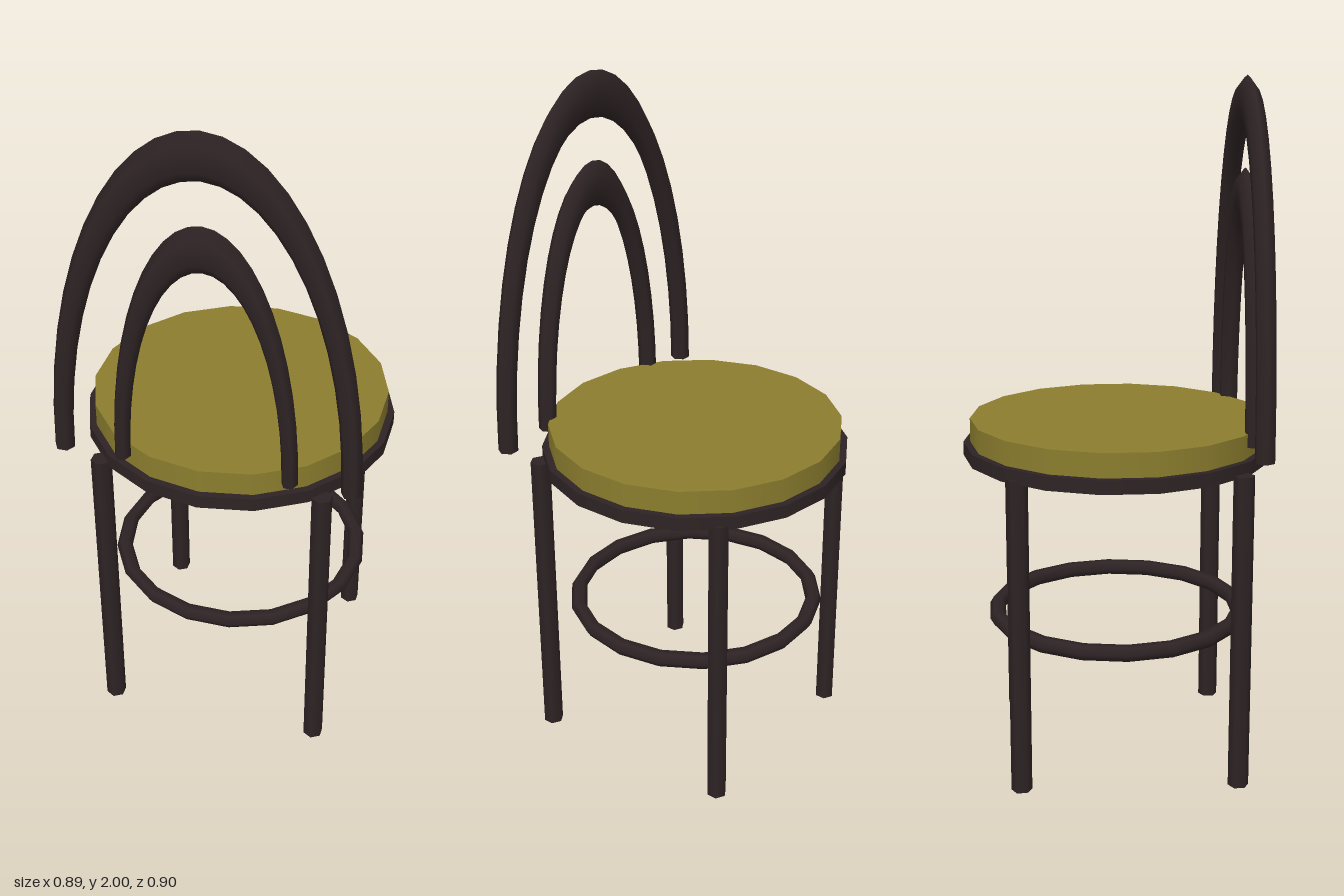
import * as THREE from 'three';

export function createModel() {
  const model = new THREE.Group();
  model.name = 'chair';
  const wood = new THREE.MeshStandardMaterial({ color: 0x2e2324, side: THREE.DoubleSide });
  wood.name = 'dark wood';
  const fabric = new THREE.MeshStandardMaterial({ color: 0x8b7d2e });
  fabric.name = 'olive fabric';

  const add = (name, geometry, material, x, y, z) => {
    const mesh = new THREE.Mesh(geometry, material);
    mesh.name = name;
    mesh.position.set(x, y, z);
    model.add(mesh);
    return mesh;
  };

  // Round seat: wooden frame with a cushion on top
  add('seatFrame', new THREE.CylinderGeometry(0.45, 0.45, 0.04, 18), wood, 0, 0.94, 0);
  add('seatCushion', new THREE.CylinderGeometry(0.43, 0.43, 0.07, 18), fabric, 0, 0.995, 0);

  // Four hexagonal legs, with the +z pair set slightly wider
  const leg = new THREE.CylinderGeometry(0.03, 0.03, 0.93, 6);
  for (const side of [-1, 1]) {
    const label = side > 0 ? 'Left' : 'Right';
    add('frontLeg' + label, leg, wood, side * 0.321, 0.465, 0.325);
    add('backLeg' + label, leg, wood, side * 0.301, 0.465, -0.3);
  }

  // Foot ring between the legs
  const ring = new THREE.TorusGeometry(0.364, 0.024, 6, 18).rotateX(Math.PI / 2);
  add('footRing', ring, wood, 0, 0.435, 0);

  // Backrest: two stretched half rings
  const arch = (name, radius, widthScale) => {
    const geometry = new THREE.TorusGeometry(radius, 0.029, 6, 24, Math.PI);
    geometry.scale(widthScale, 1.01 / 0.438, 1);
    add(name, geometry, wood, 0, 0.99, 0.365);
  };
  arch('outerBackArch', 0.409, 1);
  arch('innerBackArch', 0.298, 0.8);

  return model;
}
